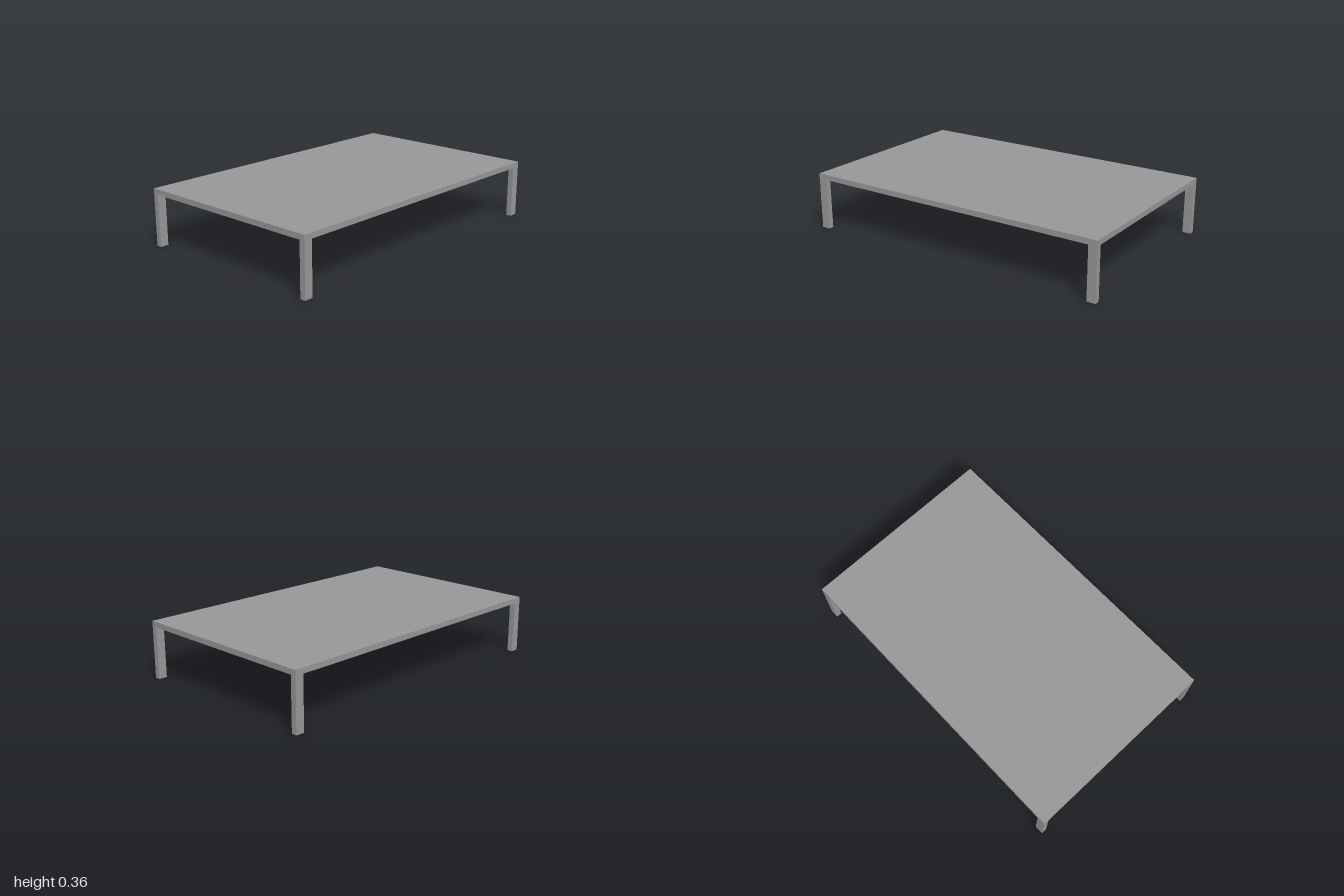
import * as THREE from 'three';

const WIDTH = 2, DEPTH = 1.258, HEIGHT = 0.362, TOP = 0.034;
const LEG_X = 0.055, LEG_Z = 0.035;

export function createModel() {
  const table = new THREE.Group();
  table.name = 'lowTable';
  const grey = new THREE.MeshStandardMaterial({ color: 0x999999, side: THREE.DoubleSide });
  grey.name = 'grey';

  // Thin rectangular top
  const top = new THREE.Mesh(new THREE.BoxGeometry(WIDTH, TOP, DEPTH), grey);
  top.name = 'tableTop';
  top.position.y = HEIGHT - TOP / 2;
  table.add(top);

  // Hollow leg: a box without its two end caps
  const legHeight = HEIGHT - TOP;
  const legGeometry = new THREE.BoxGeometry(LEG_X, legHeight, LEG_Z);
  const faces = Array.from(legGeometry.index.array);
  legGeometry.setIndex([...faces.slice(0, 12), ...faces.slice(24)]);
  legGeometry.clearGroups();

  // One leg flush with each corner
  for (const [sx, side] of [[1, 'Left'], [-1, 'Right']]) {
    for (const [sz, end] of [[1, 'front'], [-1, 'back']]) {
      const leg = new THREE.Mesh(legGeometry, grey);
      leg.name = `${end}${side}Leg`;
      leg.position.set(sx * (WIDTH - LEG_X) / 2, legHeight / 2, sz * (DEPTH - LEG_Z) / 2);
      table.add(leg);
    }
  }
  return table;
}
